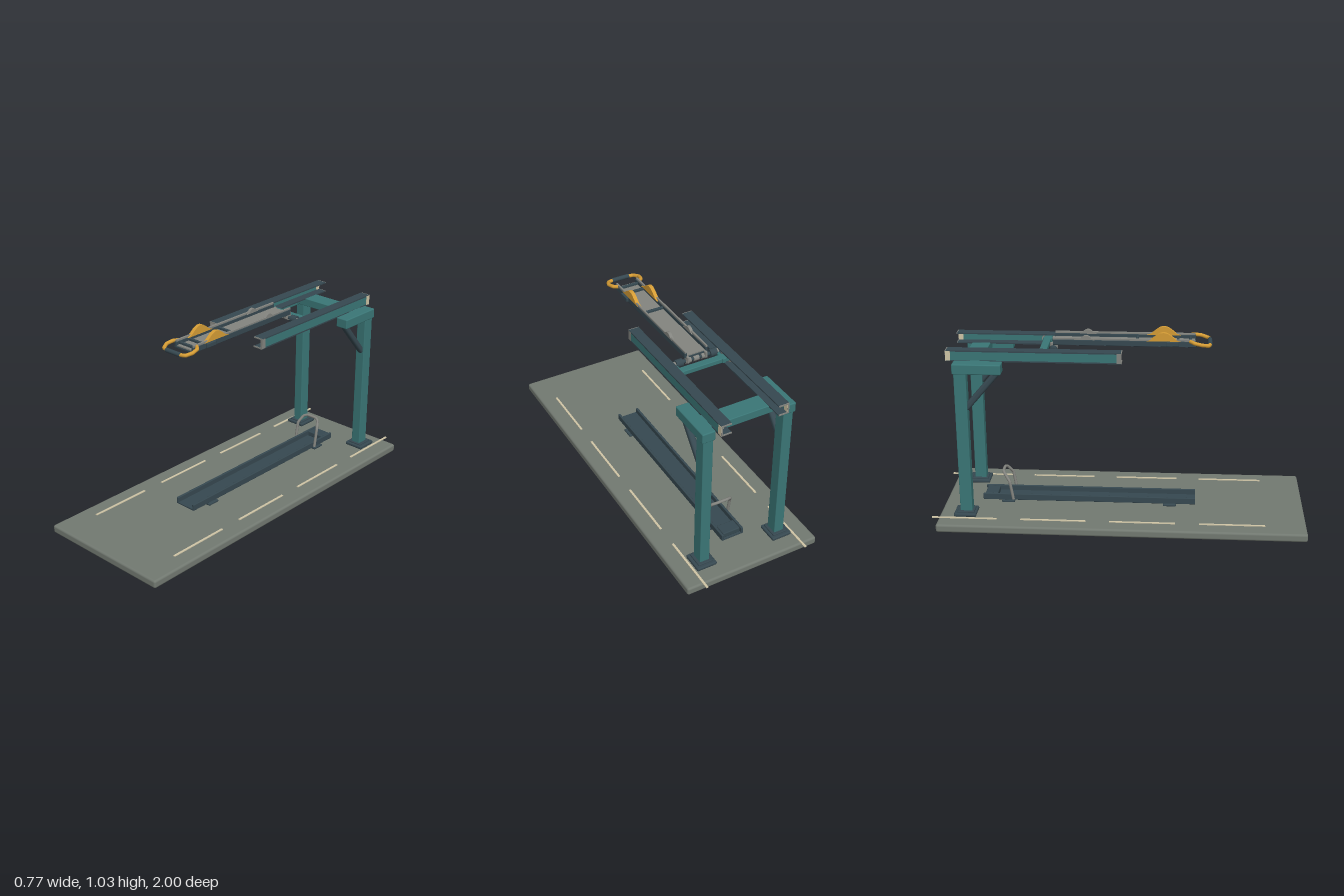
import * as THREE from 'three';
import { RoundedBoxGeometry } from 'three/addons/geometries/RoundedBoxGeometry.js';

const mat = (name, color) => Object.assign(new THREE.MeshStandardMaterial({ color }), { name });

export function createModel() {
  const teal = mat('teal paint', 0x3a7676);
  const slate = mat('dark slate', 0x364850);
  const concrete = mat('concrete', 0x727971);
  const steel = mat('steel', 0x83847f);
  const yellow = mat('safety yellow', 0xd59c35);
  const cream = mat('cream', 0xcfc5a6);
  const root = new THREE.Group();

  const add = (name, geo, m, parent = root) => {
    const mesh = new THREE.Mesh(geo, m);
    mesh.name = name;
    parent.add(mesh);
    return mesh;
  };
  // Box given by its limits, with an optional edge radius
  const box = (name, m, x0, x1, y0, y1, z0, z1, r = 0) => {
    const s = [x1 - x0, y1 - y0, z1 - z0];
    const geo = r ? new RoundedBoxGeometry(...s, 2, r) : new THREE.BoxGeometry(...s);
    geo.translate((x0 + x1) / 2, (y0 + y1) / 2, (z0 + z1) / 2);
    return add(name, geo, m);
  };
  // The same box on both sides of the middle
  const pair = (name, m, x0, x1, ...rest) => {
    box(name + 'Left', m, x0, x1, ...rest);
    box(name + 'Right', m, -x1, -x0, ...rest);
  };
  // Round tube with straight runs between points
  const tube = (name, m, pts, r) => {
    const v = pts.map((p) => new THREE.Vector3(...p));
    const path = new THREE.CatmullRomCurve3(v, false, 'catmullrom', 0.15);
    return add(name, new THREE.TubeGeometry(path, pts.length * 8, r, 10), m);
  };
  // Cylinder lying along x
  const roller = (name, m, x, y, z, r, len) => {
    const geo = new THREE.CylinderGeometry(r, r, len, 18).rotateZ(Math.PI / 2).translate(x, y, z);
    return add(name, geo, m);
  };
  // Side profile in (z, y), extruded to a width along x
  const sidePlate = (name, m, shape, x, w) => {
    const geo = new THREE.ExtrudeGeometry(shape, { depth: w, bevelEnabled: false, curveSegments: 10 });
    geo.rotateY(-Math.PI / 2).translate(x + w / 2, 0, 0);
    return add(name, geo, m);
  };

  // Ground slab and lane markings
  box('groundSlab', concrete, -0.385, 0.385, 0, 0.045, -0.965, 1, 0.012);
  for (let i = 0; i < 4; i++) {
    const z = -1 + i * 0.477;
    pair('laneMark', cream, 0.288, 0.3, 0.044, 0.049, z, z + 0.35);
  }

  // Gantry: feet, columns, heads and cross beam
  pair('footPlate', slate, 0.168, 0.282, 0.045, 0.064, -0.885, -0.765, 0.007);
  pair('footCollar', slate, 0.182, 0.266, 0.06, 0.071, -0.868, -0.777, 0.004);
  pair('column', teal, 0.196, 0.251, 0.06, 0.87, -0.853, -0.788, 0.004);
  pair('columnHead', teal, 0.188, 0.26, 0.845, 0.9, -0.86, -0.605, 0.006);
  box('crossBeam', teal, -0.2, 0.2, 0.855, 0.9, -0.82, -0.72, 0.004);

  // Diagonal braces
  for (const s of [1, -1]) {
    const a = new THREE.Vector3(s * 0.225, 0.86, -0.62), b = new THREE.Vector3(s * 0.225, 0.655, -0.795);
    const brace = add('diagonalBrace', new RoundedBoxGeometry(0.034, 0.034, a.distanceTo(b) + 0.02, 3, 0.013), slate);
    brace.position.copy(a).add(b).multiplyScalar(0.5);
    brace.lookAt(a);
  }

  // Overhead channel rails, open towards the middle
  pair('railWeb', teal, 0.179, 0.186, 0.895, 0.952, -0.9, 0.01);
  pair('railTopFlange', slate, 0.13, 0.187, 0.946, 0.953, -0.9, 0.01);
  pair('railBottomFlange', slate, 0.13, 0.187, 0.894, 0.901, -0.9, 0.01);
  // Rail ends and end pads
  for (const [z0, z1] of [[-0.904, -0.9], [0.01, 0.014]]) {
    pair('railEndWeb', steel, 0.179, 0.187, 0.894, 0.953, z0, z1);
    pair('railEndTop', steel, 0.13, 0.179, 0.946, 0.953, z0, z1);
    pair('railEndBottom', steel, 0.13, 0.179, 0.894, 0.901, z0, z1);
  }
  pair('railRearPad', cream, 0.177, 0.188, 0.897, 0.95, -0.903, -0.877);
  pair('railFrontPad', steel, 0.177, 0.188, 0.897, 0.95, -0.013, 0.013);

  // Sliding carriage between the rails
  box('carriageBar', teal, -0.165, 0.165, 0.912, 0.938, -0.425, -0.385, 0.004);
  pair('carriageCheek', teal, 0.112, 0.13, 0.912, 0.938, -0.43, -0.34, 0.003);
  roller('hingeShaft', slate, 0, 0.937, -0.35, 0.01, 0.25);
  for (const x of [-0.045, 0, 0.045]) roller('hingeCollar', steel, x, 0.937, -0.35, 0.015, 0.03);
  for (const s of [1, -1]) {
    roller('hingeRoller', slate, s * 0.098, 0.937, -0.35, 0.021, 0.038);
    roller('rollerCap', steel, s * 0.123, 0.937, -0.35, 0.013, 0.012);
    for (const z of [-0.42, -0.36]) roller('guideWheel', steel, s * 0.162, 0.923, z, 0.02, 0.018);
  }
  pair('hingeArm', steel, 0.045, 0.058, 0.93, 0.966, -0.37, -0.33, 0.003);

  // Upper tray
  box('upperTrayBase', slate, -0.065, 0.065, 0.955, 0.962, -0.355, 0.395);
  box('upperTrayFloor', steel, -0.052, 0.052, 0.961, 0.968, -0.35, 0.39);
  pair('upperTrayWall', slate, 0.053, 0.067, 0.955, 0.985, -0.355, 0.395, 0.003);
  pair('upperTrayLip', steel, 0.055, 0.065, 0.983, 0.995, -0.355, 0.39, 0.002);
  for (const z of [0.085, 0.3, 0.365]) box('upperTrayRung', slate, -0.054, 0.054, 0.962, 0.98, z - 0.007, z + 0.007, 0.003);
  pair('sideClamp', slate, 0.064, 0.08, 0.96, 0.984, 0.24, 0.305, 0.004);

  // Wheel guards on the upper tray
  const guard = (z0, z1, y0, y1) => {
    const s = new THREE.Shape(), w = z1 - z0;
    s.moveTo(z0, y0);
    s.bezierCurveTo(z0 + w * 0.2, y0 + 0.005, z0 + w * 0.3, y1, z0 + w * 0.5, y1);
    s.bezierCurveTo(z1 - w * 0.3, y1, z1 - w * 0.2, y0 + 0.005, z1, y0);
    return s;
  };
  for (const s of [1, -1]) {
    sidePlate('frontWheelGuard', yellow, guard(0.135, 0.315, 0.984, 1.03), s * 0.057, 0.02);
    sidePlate('rearWheelGuard', steel, guard(-0.225, -0.135, 0.984, 1.008), s * 0.058, 0.016);
  }

  // Pull handle with a dark grip
  for (const s of [1, -1]) {
    tube('handleArm', yellow, [[s * 0.062, 0.985, 0.365], [s * 0.085, 0.982, 0.385], [s * 0.092, 0.975, 0.425],
      [s * 0.075, 0.967, 0.46], [s * 0.045, 0.966, 0.468]], 0.01);
  }
  roller('handleGrip', slate, 0, 0.966, 0.468, 0.012, 0.1);

  // Lower tray on two cross feet
  box('lowerTrayFloor', slate, -0.062, 0.062, 0.053, 0.06, -0.76, 0.41);
  pair('lowerTrayWall', slate, 0.052, 0.065, 0.053, 0.088, -0.76, 0.41, 0.003);
  box('lowerTrayStop', slate, -0.05, 0.05, 0.058, 0.088, -0.75, -0.68, 0.005);
  for (const z of [-0.62, 0.27]) box('lowerTrayFoot', slate, -0.08, 0.08, 0.044, 0.055, z - 0.035, z + 0.035, 0.003);

  // Lower wheel hoop
  const half = [[0.071, 0.06, -0.592], [0.071, 0.165, -0.61], [0.053, 0.205, -0.638], [0.03, 0.214, -0.648]];
  tube('lowerHoop', steel, [...half.map(([x, y, z]) => [-x, y, z]), ...half.slice().reverse()], 0.008);

  return root;
}
